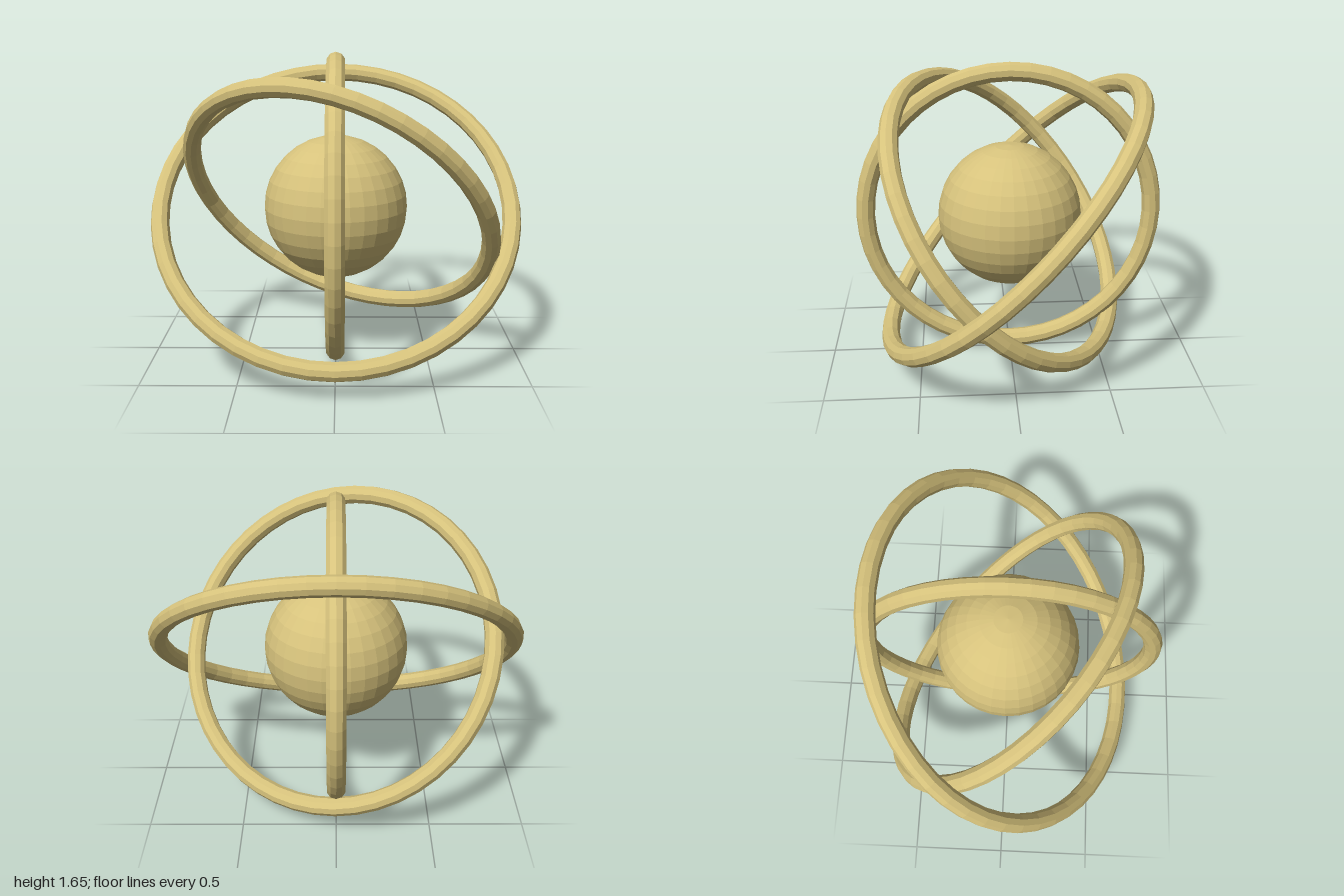
import * as THREE from 'three';

export function createModel() {
  const group = new THREE.Group();
  const brass = new THREE.MeshStandardMaterial({ color: 0xd6c27c });
  brass.name = 'brass';
  brass.flatShading = true;

  const centre = 0.827;
  const tube = 0.05;

  // Central globe
  const globe = new THREE.Mesh(new THREE.SphereGeometry(0.386, 32, 16), brass);
  globe.name = 'globe';
  globe.position.y = centre;
  group.add(globe);

  // Three rings around the globe, each set by its radius and the normal of its plane
  const h = Math.SQRT1_2;
  const rings = [
    ['outerRing', 0.95, [0, h, h]],
    ['middleRing', 0.861, [h * 0.5, h * Math.cos(Math.PI / 6), -h]],
    ['innerRing', 0.775, [1, 0, 0]],
  ];
  const axis = new THREE.Vector3(0, 0, 1);
  for (const [name, radius, normal] of rings) {
    const ring = new THREE.Mesh(new THREE.TorusGeometry(radius, tube, 10, 48), brass);
    ring.name = name;
    ring.quaternion.setFromUnitVectors(axis, new THREE.Vector3(...normal).normalize());
    ring.position.y = centre;
    group.add(ring);
  }

  return group;
}
